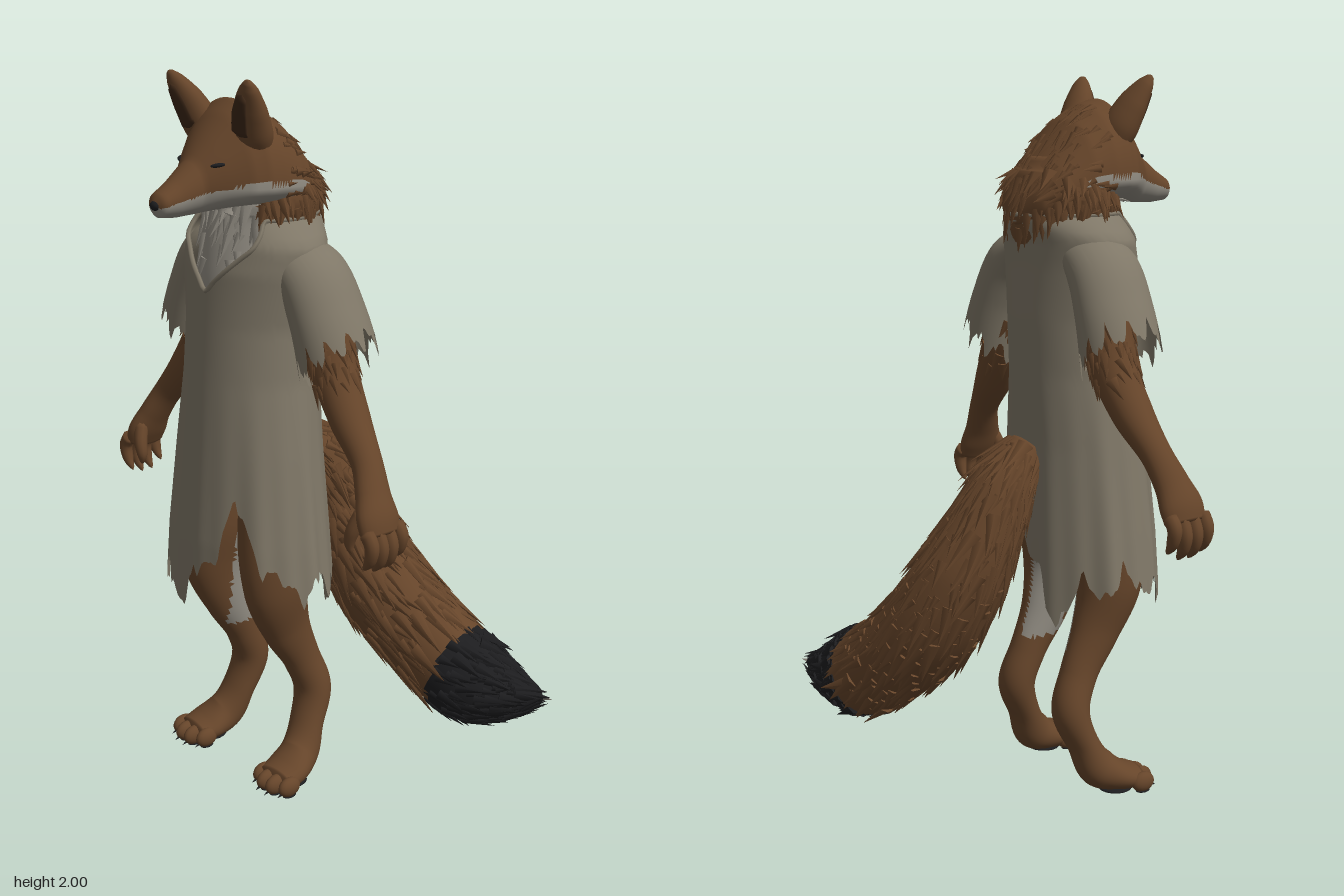
import * as THREE from 'three';
import { mergeGeometries } from 'three/addons/utils/BufferGeometryUtils.js';

const V = (x, y, z) => new THREE.Vector3(x, y, z);
const CX = -0.06; // the body's own centre line
const TAU = Math.PI * 2;
const mat = (name, color, side = THREE.FrontSide) => {
  const m = new THREE.MeshStandardMaterial({ color, side });
  m.name = name;
  return m;
};
let seed = 7;
const rnd = () => (seed = (seed * 16807) % 2147483647) / 2147483647;

// Row lookup: rows are [key, ...values], linearly blended
function lookup(rows, k) {
  let i = 0;
  while (i < rows.length - 2 && k > rows[i + 1][0]) i++;
  const [a, b] = [rows[i], rows[i + 1]];
  const t = THREE.MathUtils.clamp((k - a[0]) / (b[0] - a[0]), 0, 1);
  return a.slice(1).map((x, n) => x + (b[n + 1] - x) * t);
}

// Surface closed around u, open along v
function surface(f, nu, nv) {
  const pos = [], idx = [];
  for (let j = 0; j <= nv; j++) for (let i = 0; i < nu; i++) pos.push(...f(i / nu, j / nv).toArray());
  for (let j = 0; j < nv; j++) for (let i = 0; i < nu; i++) {
    const a = j * nu + i, b = j * nu + (i + 1) % nu;
    idx.push(a, b, a + nu, b, b + nu, a + nu);
  }
  const g = new THREE.BufferGeometry();
  g.setAttribute('position', new THREE.Float32BufferAttribute(pos, 3));
  g.setIndex(idx);
  g.computeVertexNormals();
  return g;
}

// Tube with oval sections; points are [x, y, z, radius along ref, other radius]
function sweep(pts, ref, cap = true, end = () => 1) {
  const c = new THREE.CatmullRomCurve3(pts.map(p => V(p[0], p[1], p[2])));
  const r = new THREE.CatmullRomCurve3(pts.map(p => V(p[3], p[4], 0)));
  return (u, v) => {
    const t = THREE.MathUtils.clamp(v * end(u), 0, 1);
    const T = c.getTangent(t), rad = r.getPoint(t);
    const N = ref.clone().addScaledVector(T, -ref.dot(T)).normalize();
    const B = T.clone().cross(N);
    const k = cap && (v <= 0 || v >= 1) ? 0 : 1;
    return c.getPoint(t)
      .addScaledVector(N, k * Math.max(rad.x, 0.001) * Math.cos(u * TAU))
      .addScaledVector(B, k * Math.max(rad.y, 0.001) * Math.sin(u * TAU));
  };
}

// Splits faces into two material groups by a rule on the face centre
function paint(g, rule) {
  const p = g.attributes.position, ix = g.index.array, sets = [[], []];
  for (let i = 0; i < ix.length; i += 3) {
    const m = V(0, 0, 0);
    for (let k = 0; k < 3; k++) m.add(V(0, 0, 0).fromBufferAttribute(p, ix[i + k]));
    sets[rule(m.divideScalar(3)) ? 1 : 0].push(ix[i], ix[i + 1], ix[i + 2]);
  }
  g.setIndex([...sets[0], ...sets[1]]);
  g.addGroup(0, sets[0].length, 0);
  g.addGroup(sets[0].length, sets[1].length, 1);
  return g;
}

// Pointed fur locks scattered over a surface, lying along v
function tufts(f, n, v0, v1, sign, len, wid, lift, keep = () => true) {
  const out = [];
  for (let i = 0; i < n; i++) {
    const u = (i * 0.618034 + 0.12 * rnd()) % 1, v = v0 + (v1 - v0) * (i + rnd()) / n;
    const p = f(u, v), size = 0.6 + 0.8 * rnd();
    if (!keep(p)) continue;
    const dv = f(u, v + 0.01).sub(p), du = f(u + 0.01, v).sub(p);
    const nrm = du.clone().cross(dv).normalize();
    const Y = dv.normalize().multiplyScalar(sign).addScaledVector(nrm, lift)
      .addScaledVector(du.normalize(), 0.5 * (rnd() - 0.5)).normalize();
    const X = Y.clone().cross(nrm).normalize(), Z = X.clone().cross(Y);
    const g = new THREE.ConeGeometry(1, 1, 5).translate(0, 0.4, 0);
    g.scale(wid * size, len * size, wid * 0.45 * size);
    g.applyMatrix4(new THREE.Matrix4().makeBasis(X, Y, Z).setPosition(p));
    out.push(g);
  }
  return mergeGeometries(out);
}

const tri = x => Math.abs(((x % 1) + 1) % 1 - 0.5) * 2; // triangle wave 0..1
const peak = (x, w) => Math.max(0, 1 - Math.abs(x) / w);
const rag = a => 0.55 * tri(a * 11 / TAU) + 0.3 * tri(a * 23 / TAU + 0.3) + 0.15 * tri(a * 47 / TAU);

export function createModel() {
  const root = new THREE.Group();
  root.name = 'foxInTunic';
  const fur = mat('brownFur', 0x66452a), pale = mat('paleFur', 0x918c82);
  const black = mat('blackFur', 0x1d1d1f), dark = mat('darkBrown', 0x3c2717);
  const cloth = mat('tunicCloth', 0x7f7767, THREE.DoubleSide);
  const add = (name, g, m) => {
    const o = new THREE.Mesh(g, m);
    o.name = name;
    root.add(o);
    return o;
  };
  const ball = (name, m, x, y, z, sx, sy, sz) => {
    const o = add(name, new THREE.SphereGeometry(1, 16, 10), m);
    o.position.set(x, y, z);
    o.scale.set(sx, sy, sz);
    return o;
  };
  const X = V(1, 0, 0), Z = V(0, 0, 1);

  // Head: sections along z as [z, half width, top, bottom, widest height]
  const headRows = [
    [-0.055, 0.02, 1.67, 1.61, 1.64], [-0.03, 0.10, 1.73, 1.60, 1.66], [0.02, 0.145, 1.79, 1.61, 1.69],
    [0.10, 0.168, 1.885, 1.65, 1.72], [0.16, 0.177, 1.925, 1.66, 1.725], [0.21, 0.172, 1.94, 1.665, 1.725],
    [0.25, 0.152, 1.905, 1.665, 1.725], [0.30, 0.105, 1.845, 1.66, 1.725], [0.34, 0.066, 1.795, 1.655, 1.72],
    [0.40, 0.047, 1.75, 1.653, 1.70], [0.445, 0.037, 1.722, 1.658, 1.692], [0.457, 0.022, 1.712, 1.67, 1.692],
    [0.461, 0.001, 1.693, 1.691, 1.692]];
  const headF = (u, v) => {
    const z = -0.055 + 0.516 * v, [w, top, bot, mid] = lookup(headRows, z), s = Math.sin(u * TAU);
    return V(CX + w * Math.cos(u * TAU), mid + s * (s > 0 ? top - mid : mid - bot), z);
  };
  const paleEdge = [[0.05, 1.715], [0.1, 1.735], [0.25, 1.74], [0.38, 1.705], [0.46, 1.685]];
  add('head', paint(surface(headF, 64, 64), p => p.z > 0.06 && p.y < lookup(paleEdge, p.z)[0]), [fur, pale]);
  add('headFur', tufts(headF, 190, 0.04, 0.42, -1, 0.045, 0.011, 0.06, p => p.y > 1.66), fur);
  ball('nose', black, CX, 1.69, 0.451, 0.019, 0.014, 0.014);

  // Neck and pale chest ruff
  const neckF = sweep([
    [CX, 1.36, 0.14, 0.12, 0.13], [CX, 1.45, 0.14, 0.14, 0.15], [CX, 1.55, 0.13, 0.14, 0.142],
    [CX, 1.62, 0.105, 0.15, 0.152], [CX, 1.68, 0.10, 0.165, 0.145], [CX, 1.74, 0.11, 0.15, 0.13],
    [CX, 1.80, 0.11, 0.10, 0.09]], X);
  const isRuff = p => p.z > 0.15 && Math.abs(p.x - CX) < 0.112;
  add('neck', paint(surface(neckF, 64, 32), isRuff), [fur, pale]);
  add('neckFur', tufts(neckF, 190, 0.5, 0.8, -1, 0.06, 0.016, 0.22, p => !isRuff(p)), fur);
  add('chestRuff', tufts(neckF, 190, 0.24, 0.72, -1, 0.07, 0.016, 0.12,
    p => isRuff(p) && Math.abs(p.x - CX) < (p.y - 1.42) * 0.62), pale);

  // Tunic: sections as [y, z centre, half width, half depth], ragged hem, V neck
  const tunicRows = [
    [0.45, 0.16, 0.29, 0.2], [0.6, 0.163, 0.277, 0.198], [0.75, 0.162, 0.26, 0.194], [1.0, 0.155, 0.228, 0.18],
    [1.2, 0.145, 0.2, 0.174], [1.35, 0.136, 0.197, 0.171], [1.5, 0.132, 0.22, 0.163], [1.57, 0.122, 0.228, 0.154],
    [1.61, 0.11, 0.185, 0.158], [1.635, 0.108, 0.155, 0.156]];
  const tunicF = (u, v) => {
    const a = (u - 0.5) * TAU, off = a - 0.57, back = Math.PI - Math.abs(a);
    const slit = 0.27 * peak(off, off < 0 ? 0.8 : 0.62) ** 1.2 + 0.2 * peak(back, 0.4);
    const dip = 0.06 * peak(a + 1.05, 0.4) + 0.05 * peak(back - 0.55, 0.25);
    const hem = 0.54 - 0.035 * Math.cos(2 * a) + 0.14 * rag(a) + slit - dip;
    const neck = 1.635 - 0.19 * peak(a, 0.95);
    const y = hem + (neck - hem) * v;
    const [zc, w, d] = lookup(tunicRows, y);
    const fold = 1 + 0.03 * Math.max(0, 1.25 - y) * (Math.sin(a * 9) + 0.7 * Math.sin(a * 16 + 1));
    return V(CX + w * fold * Math.sin(a), y, zc + d * fold * Math.cos(a));
  };
  add('tunic', surface(tunicF, 200, 48), cloth);
  // Folded collar edge along the neckline
  const collar = [];
  for (let i = 0; i < 40; i++) collar.push(tunicF(i / 40, 1));
  add('collar', new THREE.TubeGeometry(new THREE.CatmullRomCurve3(collar, true), 80, 0.007, 6, true), cloth);

  for (const s of [1, -1]) {
    const side = s > 0 ? 'left' : 'right';
    const at = rows => rows.map(([d, ...rest]) => [CX + s * d, ...rest]);

    // Ears with dark inner faces
    const ear = [[0.092, 1.80, 0.195, 0.04, 0.03], [0.106, 1.865, 0.218, 0.057, 0.045],
      [0.126, 1.925, 0.243, 0.05, 0.036], [0.15, 1.977, 0.268, 0.028, 0.02], [0.16, 2.0, 0.28, 0.008, 0.006]];
    add(side + 'Ear', surface(sweep(at(ear), X), 20, 20), fur);
    const inner = ear.slice(1, 4).map(([d, y, z, a, b]) => [d - 0.006, y - 0.012, z + b * 0.9, a * 0.52, 0.008]);
    add(side + 'InnerEar', surface(sweep(at(inner), X), 14, 12), dark);

    // Narrow eyes
    const eye = ball(side + 'Eye', black, CX + s * 0.076, 1.785, 0.31, 0.02, 0.0055, 0.009);
    eye.rotation.set(0, s * 0.75, s * 0.15);

    // Sleeve with torn edge, longer on the inside
    const sleeve = sweep(at([[0.09, 1.55, 0.105, 0.085, 0.05], [0.195, 1.49, 0.10, 0.105, 0.084],
      [0.255, 1.385, 0.095, 0.111, 0.092], [0.31, 1.225, 0.09, 0.114, 0.112]]), Z, false,
    u => 0.78 + 0.2 * rag(u * TAU + s) + 0.07 * s * Math.sin(u * TAU));
    add(side + 'Sleeve', surface(sleeve, 96, 24), cloth);

    // Arm, palm, fingers and thumb
    const arm = sweep(at([[0.19, 1.5, 0.10, 0.075, 0.07], [0.23, 1.36, 0.09, 0.07, 0.066],
      [0.27, 1.24, 0.085, 0.064, 0.062], [0.34, 1.13, 0.095, 0.057, 0.054], [0.425, 1.03, 0.112, 0.044, 0.04],
      [0.467, 0.96, 0.13, 0.052, 0.038], [0.495, 0.905, 0.14, 0.066, 0.038], [0.512, 0.86, 0.142, 0.062, 0.03]]), Z);
    add(side + 'Arm', surface(arm, 24, 48), fur);
    add(side + 'ArmFur', tufts(arm, 55, 0.16, 0.34, 1, 0.05, 0.014, 0.18), fur);
    for (let i = 0; i < 4; i++) {
      const z = 0.09 + 0.035 * i, drop = i === 0 ? 0.02 : i === 3 ? 0.012 : 0;
      add(side + 'Finger', surface(sweep(at([[0.508, 0.89, z, 0.019, 0.022], [0.532, 0.84 + drop, z, 0.019, 0.021],
        [0.525, 0.80 + drop, z, 0.016, 0.017], [0.50, 0.766 + drop, z, 0.004, 0.004]]), Z), 10, 14), fur);
    }
    add(side + 'Thumb', surface(sweep(at([[0.48, 0.94, 0.17, 0.02, 0.022], [0.46, 0.88, 0.193, 0.02, 0.02],
      [0.45, 0.84, 0.196, 0.015, 0.015], [0.455, 0.81, 0.194, 0.004, 0.004]]), Z), 10, 14), fur);

    // Leg running down into the paw, with pale inner thigh
    const leg = sweep(at([[0.115, 0.98, 0.15, 0.09, 0.11], [0.125, 0.75, 0.17, 0.092, 0.112],
      [0.135, 0.6, 0.175, 0.077, 0.1], [0.128, 0.47, 0.135, 0.057, 0.076], [0.13, 0.35, 0.077, 0.05, 0.056],
      [0.14, 0.25, 0.044, 0.057, 0.053], [0.153, 0.15, 0.078, 0.054, 0.044], [0.168, 0.075, 0.118, 0.056, 0.056],
      [0.182, 0.045, 0.18, 0.068, 0.042], [0.187, 0.034, 0.24, 0.062, 0.03]]), X);
    add(side + 'Leg', paint(surface(leg, 32, 72),
      p => s * (p.x - CX) < 0.112 && p.y > 0.4 && p.y < 0.72 && p.z < 0.17), [fur, pale]);

    // Toes, claws and sole pads
    for (let i = 0; i < 4; i++) {
      const x = CX + s * (0.132 + 0.037 * i), z = 0.243 - (i === 0 || i === 3 ? 0.018 : 0);
      ball(side + 'Toe', fur, x, 0.031, z, 0.021, 0.029, 0.037);
      const claw = add(side + 'Claw', new THREE.ConeGeometry(0.006, 0.024, 6), black);
      claw.position.set(x, 0.016, z + 0.034);
      claw.rotation.x = 1.9;
      ball(side + 'ToePad', black, x, 0.005, z, 0.015, 0.005, 0.022);
    }
    ball(side + 'SolePad', black, CX + s * 0.183, 0.008, 0.17, 0.05, 0.008, 0.05);
  }

  // Bushy tail sweeping to the left, with a black end
  const tailF = sweep([
    [-0.06, 1.0, 0.0, 0.05, 0.05], [-0.06, 0.92, -0.07, 0.08, 0.08], [-0.05, 0.8, -0.13, 0.1, 0.1],
    [-0.01, 0.65, -0.19, 0.129, 0.125], [0.075, 0.49, -0.24, 0.141, 0.133], [0.21, 0.36, -0.285, 0.134, 0.133],
    [0.36, 0.27, -0.313, 0.131, 0.133], [0.47, 0.248, -0.35, 0.09, 0.09], [0.585, 0.25, -0.395, 0.01, 0.01]], Z);
  const past = p => p.x - 0.33 - 0.3 * (p.y - 0.27);
  add('tail', paint(surface(tailF, 48, 80), p => past(p) > 0), [fur, black]);
  add('tailFur', tufts(tailF, 600, 0.03, 0.8, 1, 0.095, 0.018, 0.13, p => past(p) < -0.055), fur);
  add('tailTipFur', tufts(tailF, 260, 0.64, 0.95, 1, 0.075, 0.017, 0.08, p => past(p) > -0.01), black);
  const tip = add('tailPoint', new THREE.ConeGeometry(0.012, 0.05, 6), pale);
  tip.position.set(0.583, 0.25, -0.396);
  tip.quaternion.setFromUnitVectors(V(0, 1, 0), V(0.93, 0, -0.37).normalize());
  return root;
}
